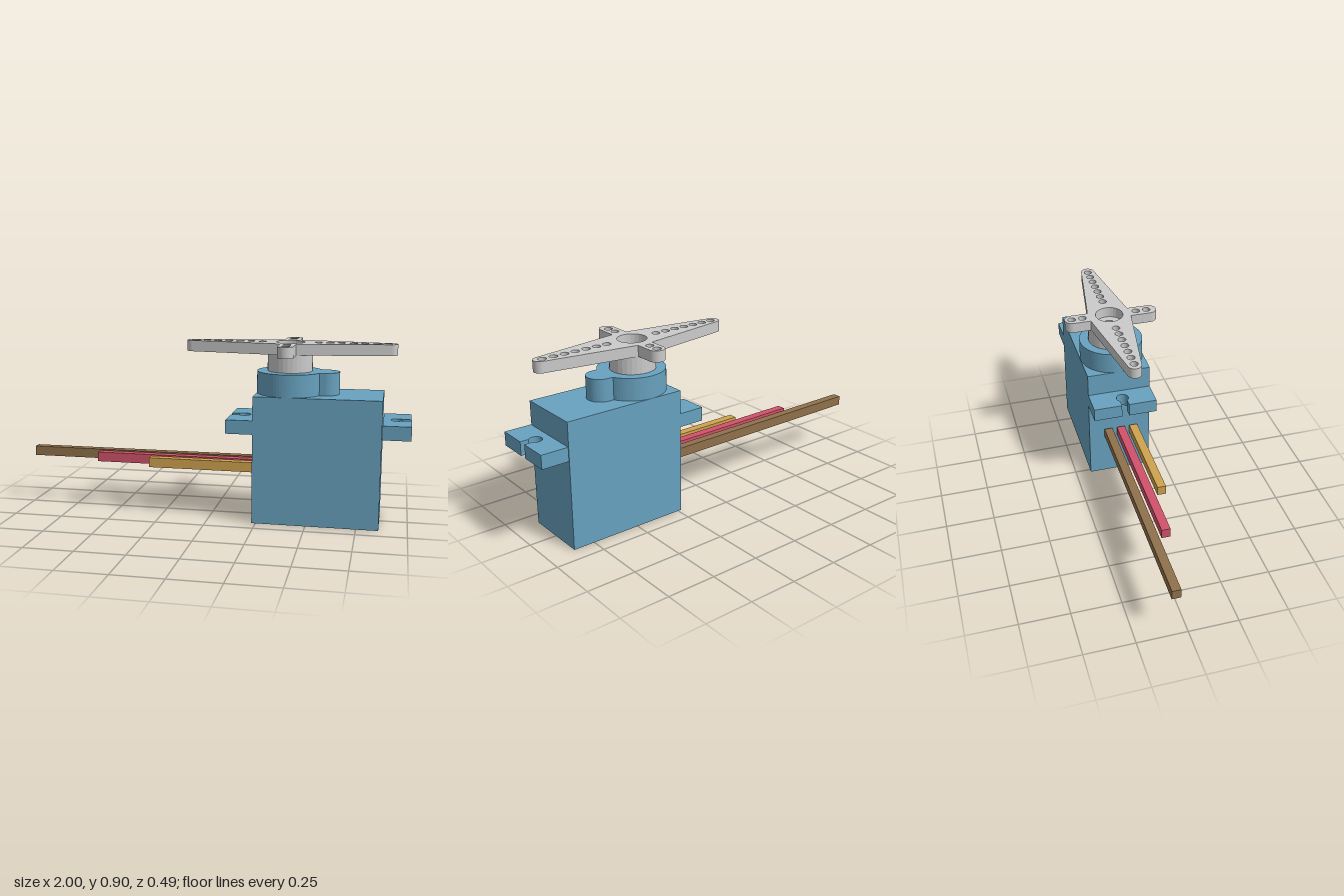
import * as THREE from 'three';

const BLUE = 0x68a2bf, GREY = 0xcccccc;
const AXIS_X = 0.393, AXIS_Z = -0.007; // output shaft

function part(name, geometry, color) {
  const mesh = new THREE.Mesh(geometry, new THREE.MeshStandardMaterial({ color, flatShading: true }));
  mesh.name = name;
  return mesh;
}

function box(name, color, [x0, x1], [y0, y1], [z0, z1]) {
  const g = new THREE.BoxGeometry(x1 - x0, y1 - y0, z1 - z0);
  g.translate((x0 + x1) / 2, (y0 + y1) / 2, (z0 + z1) / 2);
  return part(name, g, color);
}

// Extrudes a plan outline (x, -z) upward from y0 to y1
function plate(name, color, shape, y0, y1, curveSegments = 12) {
  const g = new THREE.ExtrudeGeometry(shape, { depth: y1 - y0, bevelEnabled: false, curveSegments });
  g.rotateX(-Math.PI / 2).translate(0, y0, 0);
  return part(name, g, color);
}

function addHole(shape, x, y, r) {
  const hole = new THREE.Path();
  hole.absarc(x, y, r, 0, Math.PI * 2, true);
  shape.holes.push(hole);
}

// Mounting ear with a keyhole slot open to its outer edge
function earShape() {
  const a = Math.asin(0.019 / 0.032), s = new THREE.Shape();
  s.moveTo(0.315, -0.168);
  s.lineTo(0.4525, -0.168);
  s.lineTo(0.4525, -0.019);
  s.absarc(0.384, 0, 0.032, -a, a, true);
  s.lineTo(0.4525, 0.019);
  s.lineTo(0.4525, 0.168);
  s.lineTo(0.315, 0.168);
  s.closePath();
  return s;
}

// Round gear housing with a smaller lobe towards +x
function housingShape() {
  const R = 0.167, r = 0.07, a = Math.asin(r / R), s = new THREE.Shape();
  s.absarc(0, 0, R, a, Math.PI * 2 - a, false);
  s.absarc(0.177, 0, r, -Math.PI / 2, Math.PI / 2, false);
  s.closePath();
  return s;
}

// Four-armed horn: two long tapered arms, two short straight ones
function hornShape() {
  const s = new THREE.Shape(), H = Math.PI / 2;
  const tip = 0.492, tipR = 0.035, w = 0.04, root = 0.107, lean = 0.14;
  s.absarc(tip, 0, tipR, -H + lean, H - lean, false);
  s.lineTo(w, root);
  s.absarc(0, 0.196, w, 0, Math.PI, false);
  s.lineTo(-w, root);
  s.absarc(-tip, 0, tipR, H + lean, 3 * H - lean, false);
  s.lineTo(-w, -root);
  s.absarc(0, -0.212, w, Math.PI, Math.PI * 2, false);
  s.lineTo(w, -root);
  s.closePath();
  for (const side of [-1, 1]) {
    for (let i = 0; i < 7; i++) addHole(s, side * (0.141 + i * 0.0568), 0, 0.02);
    for (const d of [0.143, 0.2]) addHole(s, 0, side * d, 0.02);
  }
  addHole(s, 0, 0, 0.072);
  return s;
}

export function createModel() {
  const model = new THREE.Group();
  model.name = 'servoMotor';

  // Case and mounting ears
  model.add(box('case', BLUE, [0.23, 0.86], [0, 0.645], [-0.168, 0.168]));
  for (const [name, turn] of [['leftMountingEar', 0], ['rightMountingEar', Math.PI]]) {
    const ear = plate(name, BLUE, earShape(), 0.455, 0.525);
    ear.position.x = 0.5475;
    ear.rotation.y = turn;
    model.add(ear);
  }

  // Gear housing
  const housing = plate('gearHousing', BLUE, housingShape(), 0.645, 0.757, 28);
  housing.position.x = 0.396;
  model.add(housing);

  // Horn assembly on the output shaft
  const horn = new THREE.Group();
  horn.name = 'horn';
  horn.position.set(AXIS_X, 0, AXIS_Z);
  horn.add(plate('hornArms', GREY, hornShape(), 0.845, 0.9));

  // Hub with a screw hole ending in a shallow cone
  const hubProfile = [[0.113, 0.757], [0.113, 0.845], [0.034, 0.845], [0.034, 0.79], [0, 0.772]]
    .map(([r, y]) => new THREE.Vector2(r, y));
  horn.add(part('hornHub', new THREE.LatheGeometry(hubProfile, 30), GREY));
  model.add(horn);

  // Three lead wires of different lengths
  const wires = [
    ['brownWire', 0x90714b, -1, -0.065],
    ['redWire', 0xcf526a, -0.62, 0.004],
    ['yellowWire', 0xcfa24e, -0.32, 0.074],
  ];
  for (const [name, color, end, z] of wires) {
    model.add(box(name, color, [end, 0.217], [0.245, 0.295], [z - 0.022, z + 0.022]));
  }

  return model;
}
